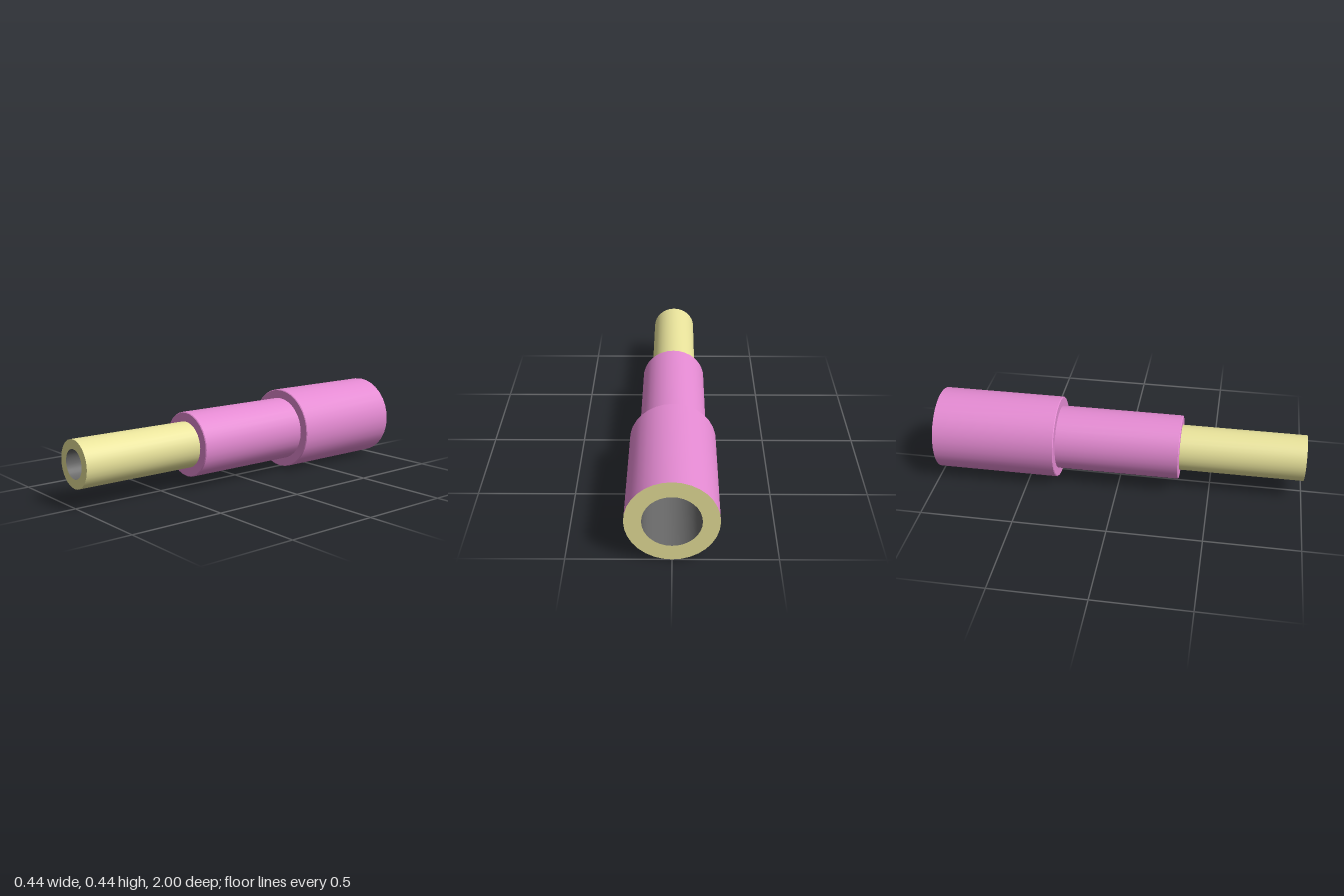
import * as THREE from 'three';
import { toCreasedNormals } from 'three/addons/utils/BufferGeometryUtils.js';

const AXIS_Y = 0.223;
const PINK = 0xe48ad2, YELLOW = 0xe9e39b, DARK = 0x666666;

// Revolves [radius, z] points around the z axis; the outer skin runs towards +z.
function turned(name, color, points) {
  const profile = points.map(([r, z]) => new THREE.Vector2(r, z));
  const geometry = toCreasedNormals(new THREE.LatheGeometry(profile, 32), 0.6);
  geometry.rotateX(Math.PI / 2);
  const mesh = new THREE.Mesh(geometry, new THREE.MeshStandardMaterial({ color }));
  mesh.name = name;
  return mesh;
}

export function createModel() {
  const group = new THREE.Group();
  group.name = 'steppedTube';
  const step = 1 / 3, bevel = 0.004;
  const outer = { front: 0.123, middle: 0.173, rear: 0.222 };
  const bore = { front: 0.075, middle: 0.107, rear: 0.14 };

  group.add(
    // outer sleeves with their forward-facing shoulders
    turned('rearSleeve', PINK, [
      [outer.rear, -1], [outer.rear, -step - bevel],
      [outer.rear - bevel, -step], [outer.middle, -step],
    ]),
    turned('middleSleeve', PINK, [
      [outer.middle, -step], [outer.middle, step - bevel],
      [outer.middle - bevel, step], [outer.front, step],
    ]),
    // thin front pipe and its annular mouth
    turned('frontPipe', YELLOW, [[outer.front, step], [outer.front, 1], [bore.front, 1]]),
    // annular face closing the wide end
    turned('rearFace', YELLOW, [[bore.rear, -1], [outer.rear, -1]]),
    // bore stepping down towards the front
    turned('bore', DARK, [
      [bore.front, 1], [bore.front, step], [bore.middle, step],
      [bore.middle, -step], [bore.rear, -step], [bore.rear, -1],
    ]),
  );

  group.position.y = AXIS_Y;
  const root = new THREE.Group();
  root.add(group);
  return root;
}
